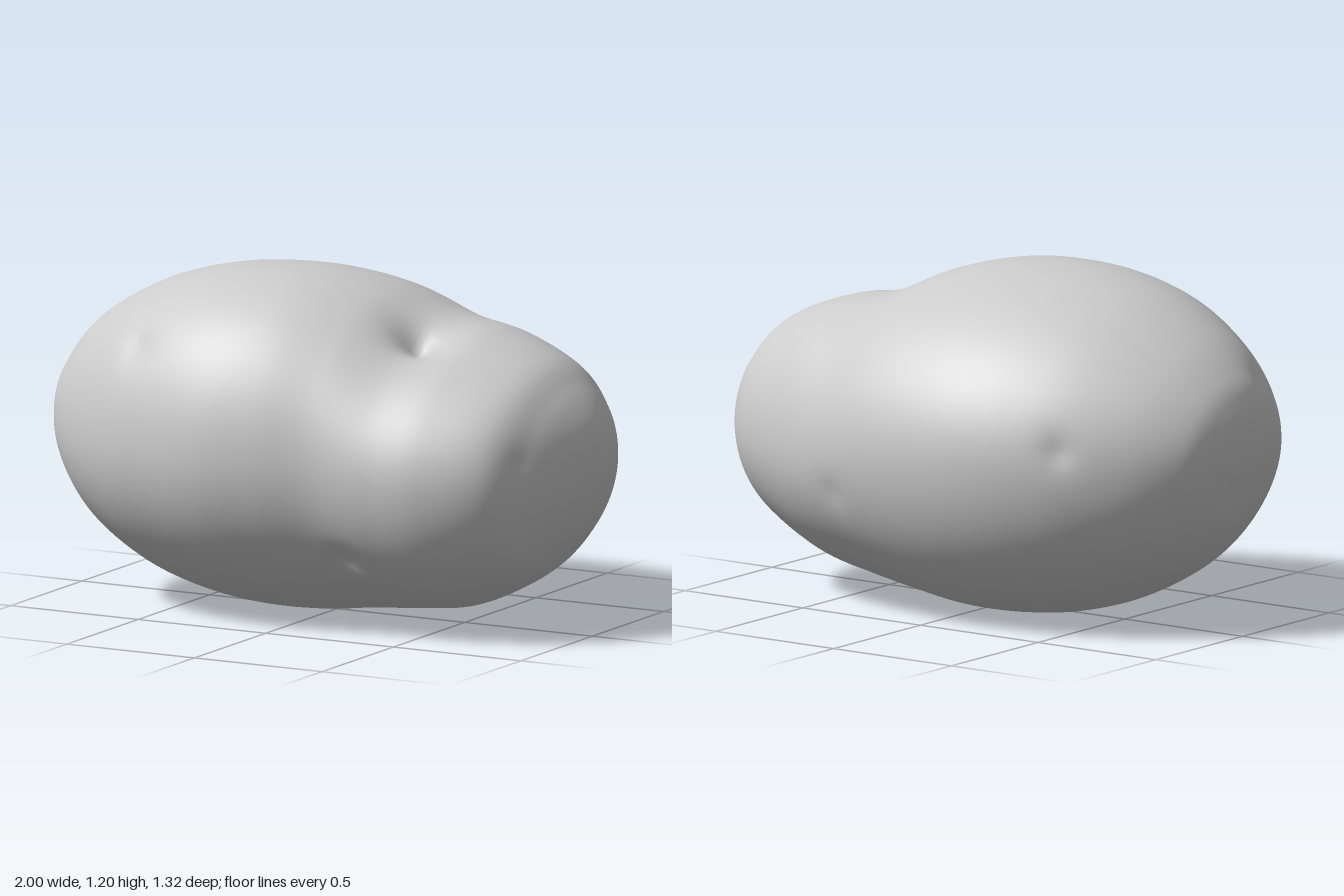
import * as THREE from 'three';
import { mergeVertices } from 'three/addons/utils/BufferGeometryUtils.js';

// Cross-sections along the tuber: x, bottom, top, back, front, lean of the top towards +z
const SECTIONS = [
  [-1, 0.67, 0.67, 0.04, 0.04, 0],
  [-0.995, 0.6, 0.735, -0.05, 0.12, 0],
  [-0.98, 0.53, 0.8, -0.14, 0.2, 0.01],
  [-0.93, 0.38, 0.89, -0.26, 0.32, 0.02],
  [-0.8, 0.22, 1.01, -0.4, 0.45, 0.04],
  [-0.6, 0.1, 1.12, -0.535, 0.57, 0.06],
  [-0.4, 0.035, 1.18, -0.615, 0.63, 0.07],
  [-0.2, 0.008, 1.203, -0.655, 0.655, 0.07],
  [0, 0.008, 1.197, -0.66, 0.632, 0.06],
  [0.2, 0.032, 1.15, -0.64, 0.585, 0.02],
  [0.4, 0.055, 1.06, -0.6, 0.565, -0.04],
  [0.6, 0.088, 1.02, -0.535, 0.53, -0.06],
  [0.8, 0.19, 0.945, -0.445, 0.43, -0.04],
  [0.9, 0.3, 0.855, -0.35, 0.28, -0.02],
  [0.96, 0.41, 0.775, -0.25, 0.14, -0.01],
  [0.99, 0.53, 0.705, -0.16, 0.02, 0],
  [1, 0.63, 0.63, -0.07, -0.07, 0],
];

// Eyes: x, y, z, depth, radius
const EYES = [
  [0.42, 1.03, 0.17, 0.095, 0.08],
  [0.3, 0.27, 0.47, 0.025, 0.05],
  [0.31, 0.14, 0.36, 0.025, 0.05],
  [-0.51, 0.95, 0.47, 0.02, 0.06],
  [-0.9, 0.84, 0.22, 0.015, 0.05],
  [0.88, 0.64, 0.3, 0.008, 0.06],
  [-0.6, 0.68, -0.53, 0.02, 0.05],
  [0.3, 0.45, -0.59, 0.012, 0.05],
];

function tuberGeometry(steps = 150, sides = 112) {
  const heights = new THREE.CatmullRomCurve3(
    SECTIONS.map((s) => new THREE.Vector3(s[0], s[1], s[2])), false, 'catmullrom', 0.5);
  const depths = new THREE.CatmullRomCurve3(
    SECTIONS.map((s) => new THREE.Vector3(s[3], s[4], s[5])), false, 'catmullrom', 0.5);
  const positions = [];
  const index = [];
  const p = new THREE.Vector3();
  const eye = new THREE.Vector3();
  const inward = new THREE.Vector3();

  for (let i = 0; i <= steps; i++) {
    const { x, y: bottom, z: top } = heights.getPoint(i / steps);
    const { x: back, y: front, z: lean } = depths.getPoint(i / steps);
    const cy = (bottom + top) / 2;
    const cz = (back + front) / 2;
    for (let j = 0; j < sides; j++) {
      const a = (j / sides) * Math.PI * 2;
      const c = Math.cos(a);
      const s = Math.sin(a);
      // The lean bends the top one way and the underside a little the other way
      const bend = lean * s * s * (s > 0 ? 1 : -0.5);
      p.set(x, cy + (s * (top - bottom)) / 2, cz + (c * (front - back)) / 2 + bend);
      // Sink each eye towards the core with a sharp centre
      inward.set(x * 0.7, 0.6, 0).sub(p).normalize();
      let sink = 0;
      for (const [ex, ey, ez, depth, radius] of EYES) {
        const d = p.distanceTo(eye.set(ex, ey, ez)) / radius;
        sink += depth * Math.exp(-Math.pow(d, 1.4));
      }
      p.addScaledVector(inward, sink);
      positions.push(p.x, p.y, p.z);
      if (i < steps) {
        const k = (j + 1) % sides;
        const r0 = i * sides;
        const r1 = r0 + sides;
        index.push(r0 + j, r1 + j, r0 + k, r1 + j, r1 + k, r0 + k);
      }
    }
  }
  let geometry = new THREE.BufferGeometry();
  geometry.setAttribute('position', new THREE.Float32BufferAttribute(positions, 3));
  geometry.setIndex(index);
  geometry = mergeVertices(geometry, 1e-5); // close the two tips
  geometry.computeVertexNormals();
  return geometry;
}

export function createModel() {
  const group = new THREE.Group();
  group.name = 'potato';
  const tuber = new THREE.Mesh(
    tuberGeometry(), new THREE.MeshStandardMaterial({ color: 0xcccccc }));
  tuber.name = 'tuber';
  group.add(tuber);
  return group;
}
